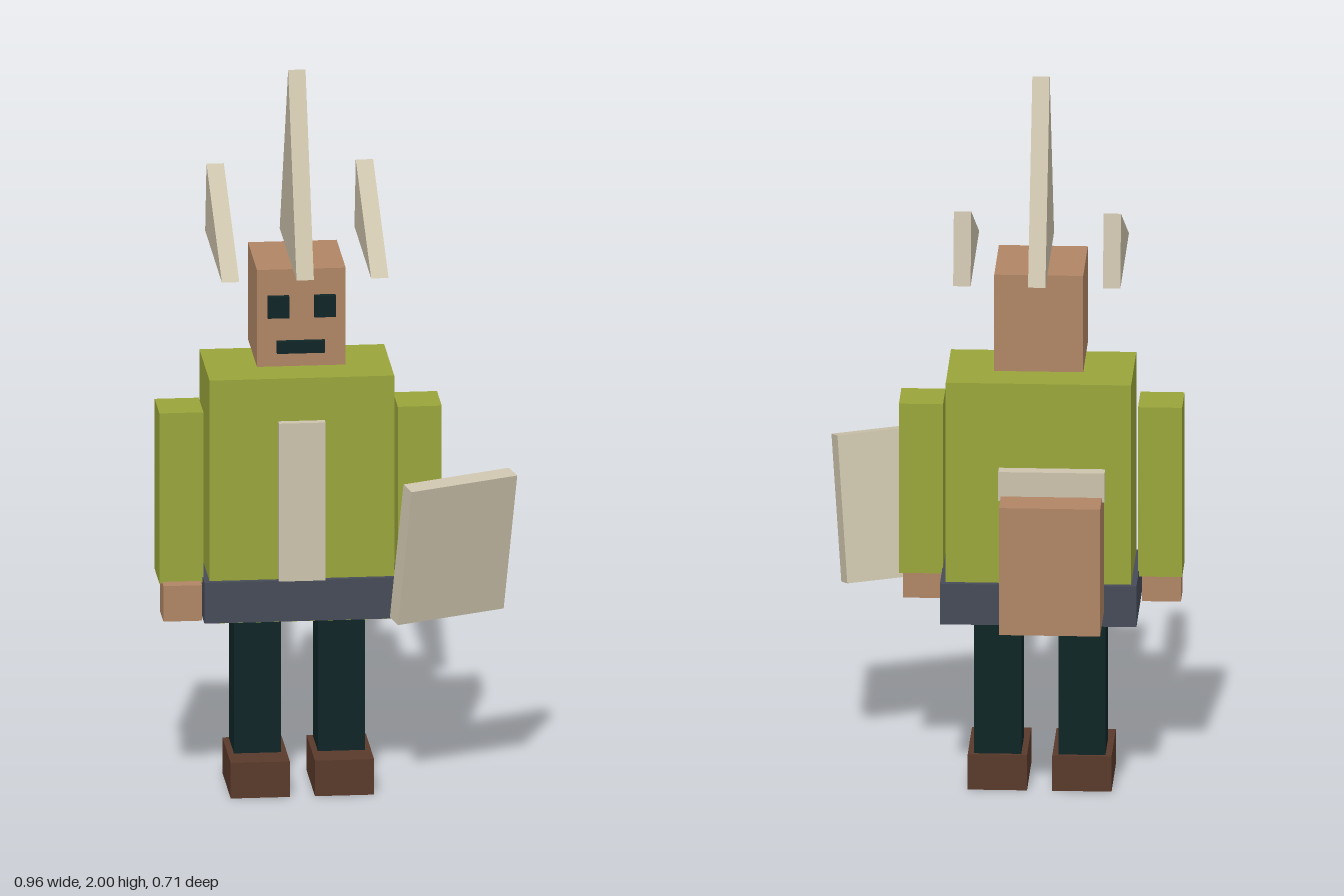
import * as THREE from 'three';

const mat = (name, color) => {
  const m = new THREE.MeshStandardMaterial({ color });
  m.name = name;
  return m;
};

export function createModel() {
  const model = new THREE.Group();
  model.name = 'blockFigure';

  const olive = mat('olive cloth', 0x99a53b);
  const skin = mat('tan skin', 0xb08665);
  const bone = mat('bone', 0xccc3ac);
  const slate = mat('slate belt', 0x464b58);
  const dark = mat('dark teal', 0x0f2526);
  const brown = mat('boot brown', 0x593a2b);

  const add = (name, geometry, material) => {
    const mesh = new THREE.Mesh(geometry, material);
    mesh.name = name;
    model.add(mesh);
    return mesh;
  };

  // Box given by its extents along each axis
  const block = (name, material, [x0, x1], [y0, y1], [z0, z1]) => {
    const mesh = add(name, new THREE.BoxGeometry(x1 - x0, y1 - y0, z1 - z0), material);
    mesh.position.set((x0 + x1) / 2, (y0 + y1) / 2, (z0 + z1) / 2);
    return mesh;
  };

  // The body's mirror plane sits left of the origin
  const MID = -0.098;
  const pair = (name, material, [inner, outer], y, z) => {
    block('right' + name, material, [MID - outer, MID - inner], y, z);
    block('left' + name, material, [MID + inner, MID + outer], y, z);
  };

  // Torso, belt and chest panel
  block('torso', olive, [-0.348, 0.152], [0.49, 1.175], [-0.138, 0.152]);
  block('belt', slate, [-0.363, 0.167], [0.495, 0.61], [-0.154, 0.167]);
  block('chestPanel', bone, [-0.162, -0.036], [0.61, 1.055], [0.145, 0.175]);

  // Limbs
  pair('Leg', dark, [0.05, 0.177], [0.1, 0.495], [-0.06, 0.08]);
  pair('Boot', brown, [0.034, 0.194], [0, 0.1], [-0.07, 0.167]);
  pair('Arm', olive, [0.263, 0.382], [0.595, 1.075], [-0.02, 0.115]);
  pair('Hand', skin, [0.27, 0.375], [0.5, 0.6], [0.057, 0.155]);

  // Head and face
  block('head', skin, [-0.218, 0.022], [1.205, 1.478], [-0.121, 0.136]);
  pair('Eye', dark, [0.034, 0.092], [1.345, 1.405], [0.13, 0.153]);
  block('mouth', dark, [-0.165, -0.035], [1.245, 1.278], [0.13, 0.153]);

  // Flat triangular spikes over the head, outlined in (z, y)
  const spike = (name, x, width, points) => {
    const shape = new THREE.Shape(points.map(([z, y]) => new THREE.Vector2(z, y)));
    const geo = new THREE.ExtrudeGeometry(shape, { depth: width, bevelEnabled: false });
    geo.translate(0, 0, -width / 2).rotateY(-Math.PI / 2);
    add(name, geo, bone).position.x = x;
  };
  spike('centreSpike', MID, 0.047, [[0.248, 1.48], [-0.235, 1.48], [0.007, 2]]);
  for (const [name, s] of [['rightSpike', -1], ['leftSpike', 1]]) {
    spike(name, MID + s * 0.202, 0.047, [[0.248, 1.48], [-0.232, 1.48], [-0.194, 1.68]]);
  }

  // Backpack with its handle
  block('backpack', skin, [-0.275, -0.002], [0.533, 0.893], [-0.355, -0.135]);
  block('packHandle', bone, [-0.282, 0.005], [0.88, 0.962], [-0.254, -0.216]);

  // Shield, turned outward and leaning forward
  const shield = add('shield', new THREE.BoxGeometry(0.323, 0.403, 0.048), bone);
  shield.position.set(0.305, 0.713, 0.231);
  shield.rotation.set(0.193, 0.4, 0, 'YXZ');

  return model;
}
